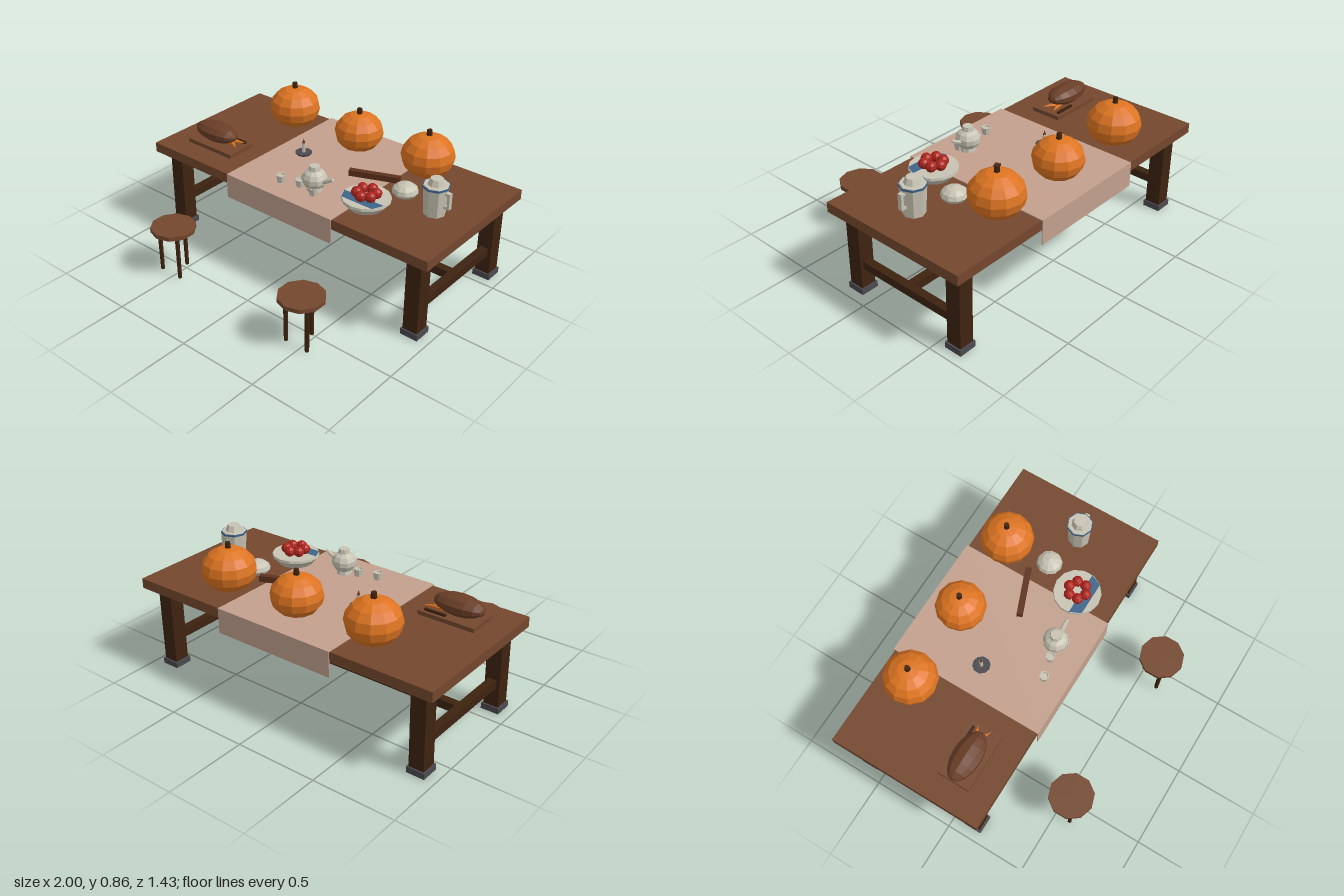
import * as THREE from 'three';

const mat = (name, color) => new THREE.MeshStandardMaterial({ name, color });

export function createModel() {
  const root = new THREE.Group();
  root.name = 'feastTable';
  const wood = mat('warm wood', 0x74472e), dark = mat('dark wood', 0x3e230f);
  const linen = mat('linen', 0xc3a08e), orange = mat('pumpkin orange', 0xdd7421);
  const clay = mat('glazed clay', 0xc8c4b4), red = mat('apple red', 0xae241c);
  const blue = mat('glaze blue', 0x3f658a), iron = mat('iron', 0x4a494f);
  const roast = mat('roast brown', 0x6a3e27), stick = mat('reddish wood', 0x5e321f);

  // Adds a faceted mesh with one normal per face
  const add = (parent, name, geo, material, x = 0, y = 0, z = 0) => {
    const g = geo.index ? geo.toNonIndexed() : geo;
    g.computeVertexNormals();
    const m = new THREE.Mesh(g, material);
    m.name = name;
    m.position.set(x, y, z);
    parent.add(m);
    return m;
  };
  const group = (name, x = 0, y = 0, z = 0) => {
    const g = new THREE.Group();
    g.name = name;
    g.position.set(x, y, z);
    root.add(g);
    return g;
  };
  const box = (w, h, d) => new THREE.BoxGeometry(w, h, d);
  const cyl = (rt, rb, h, n = 8) => new THREE.CylinderGeometry(rt, rb, h, n);
  const ball = (rx, ry, rz, n = 10, m = 7) => new THREE.SphereGeometry(1, n, m).scale(rx, ry, rz);
  const lathe = (pts, n) => new THREE.LatheGeometry(pts.map(p => new THREE.Vector2(...p)), n);
  const TOP = 0.57;

  // Table
  const table = group('table', 0, 0, -0.24);
  add(table, 'tableTop', box(2, 0.06, 0.94), wood, 0, 0.535);
  add(table, 'underFrame', box(1.94, 0.016, 0.89), dark, 0, 0.498);
  for (const sx of [-1, 1]) {
    for (const sz of [-1, 1]) {
      add(table, 'tableLeg', box(0.092, 0.47, 0.092), dark, sx * 0.885, 0.26, sz * 0.367);
      add(table, 'footCap', box(0.11, 0.036, 0.11), iron, sx * 0.885, 0.018, sz * 0.367);
    }
    add(table, 'sideStretcher', box(0.05, 0.05, 0.65), dark, sx * 0.885, 0.18, 0);
  }
  add(table, 'longStretcher', box(1.75, 0.05, 0.05), dark, 0, 0.18, 0);

  // Cloth runner with two hanging ends
  const runner = group('runner', 0, 0, -0.24);
  add(runner, 'runnerTop', box(0.77, 0.005, 0.96), linen, 0, 0.5685);
  for (const s of [-1, 1]) add(runner, 'runnerDrop', box(0.77, 0.152, 0.005), linen, 0, 0.495, s * 0.4775);

  // Stools, each with three legs
  for (const [x, z] of [[-0.53, 0.55], [0.47, 0.58]]) {
    const stool = group('stool', x, 0, z);
    add(stool, 'stoolSeat', cyl(0.133, 0.133, 0.026, 10), wood, 0, 0.298);
    for (let i = 0; i < 3; i++) {
      const a = Math.PI + i * Math.PI * 2 / 3;
      add(stool, 'stoolLeg', cyl(0.014, 0.012, 0.286, 6), dark, Math.sin(a) * 0.085, 0.143, Math.cos(a) * 0.085);
    }
  }

  // Pumpkins
  for (const [x, r, ry] of [[-0.505, 0.157, 0.13], [0, 0.148, 0.12], [0.495, 0.157, 0.13]]) {
    const pumpkin = group('pumpkin', x, TOP, -0.505);
    add(pumpkin, 'pumpkinBody', ball(r, ry, r, 12, 8), orange, 0, ry - 0.003);
    add(pumpkin, 'pumpkinStem', cyl(0.015, 0.018, 0.045, 6), dark, 0, ry * 2 + 0.005);
  }

  // Roast on a board with carrots
  const platter = group('roastPlatter', -0.68, 0.565, -0.01);
  add(platter, 'board', box(0.35, 0.024, 0.195), wood, 0, 0.012);
  const meat = new THREE.SphereGeometry(1, 10, 8).rotateZ(Math.PI / 2).scale(0.155, 0.058, 0.083);
  add(platter, 'roast', meat, roast, -0.027, 0.08, 0);
  for (const [x, z, turn] of [[0.115, -0.035, 0.3], [0.12, 0.01, -0.5]]) {
    const carrot = add(platter, 'carrot', new THREE.ConeGeometry(0.02, 0.1, 6).rotateZ(-Math.PI / 2), orange, x, 0.043, z);
    carrot.rotation.y = turn;
  }
  add(platter, 'knife', box(0.13, 0.012, 0.016), dark, 0.08, 0.03, -0.07);

  // Candle on its holder
  const candle = group('candle', -0.21, TOP, -0.24);
  add(candle, 'candleHolder', cyl(0.052, 0.045, 0.012, 10), iron, 0, 0.006);
  add(candle, 'candleStick', cyl(0.011, 0.012, 0.06, 6), clay, 0, 0.042);
  add(candle, 'candleTip', new THREE.ConeGeometry(0.01, 0.03, 6), roast, 0, 0.086);

  // Teapot
  const pot = group('teapot', 0.115, TOP, 0.05);
  add(pot, 'potBody', ball(0.074, 0.063, 0.074), clay, 0, 0.075);
  add(pot, 'potBase', cyl(0.04, 0.045, 0.025), clay, 0, 0.0125);
  add(pot, 'potLid', cyl(0.03, 0.036, 0.03), clay, 0, 0.141);
  const spout = add(pot, 'potSpout', cyl(0.009, 0.014, 0.085, 6), clay, 0.095, 0.091);
  spout.rotation.z = -1.08;

  // Cups
  for (const [x, z] of [[-0.09, 0.1], [0.027, 0.07], [0.145, 0.095]]) {
    const cup = group('cup', x, TOP, z);
    add(cup, 'cupBody', lathe([[0, 0], [0.022, 0], [0.028, 0.045], [0.023, 0.045], [0.02, 0.035], [0, 0.035]], 8), clay);
  }

  // Fruit bowl with a blue glazed band and a ring of apples
  const bowl = group('fruitBowl', 0.44, TOP, 0);
  add(bowl, 'bowlBody', lathe([[0, 0], [0.1, 0], [0.125, 0.03], [0.14, 0.045], [0.138, 0.06], [0, 0.056]], 14), clay);
  const band = new THREE.Shape();
  [[-0.134, -0.022], [-0.104, -0.09], [0.104, -0.09], [0.134, -0.022]]
    .forEach(([x, y], i) => (i ? band.lineTo(x, y) : band.moveTo(x, y)));
  add(bowl, 'bowlBand', new THREE.ShapeGeometry(band).rotateX(-Math.PI / 2), blue, 0, 0.0615);
  for (let i = 0; i < 6; i++) {
    const a = i * Math.PI / 3;
    add(bowl, 'apple', ball(0.033, 0.031, 0.033, 8, 6), red, Math.sin(a) * 0.054, 0.084, Math.cos(a) * 0.054);
  }

  // Domed dish
  const dish = group('domedDish', 0.53, TOP, -0.24);
  add(dish, 'dome', lathe([[0, 0], [0.062, 0], [0.077, 0.022], [0.068, 0.045], [0.042, 0.064], [0, 0.075]], 10), clay);

  // Pitcher with blue rim, lid and handle
  const pitcher = group('pitcher', 0.765, TOP, -0.18);
  add(pitcher, 'pitcherBody', cyl(0.073, 0.062, 0.166), clay, 0, 0.083);
  add(pitcher, 'pitcherRim', cyl(0.077, 0.077, 0.012), blue, 0, 0.17);
  add(pitcher, 'pitcherShoulder', cyl(0.07, 0.073, 0.005), clay, 0, 0.178);
  add(pitcher, 'pitcherLid', cyl(0.036, 0.05, 0.036), clay, 0, 0.198);
  for (const y of [0.064, 0.144]) add(pitcher, 'handleArm', box(0.04, 0.016, 0.026), clay, 0.075, y);
  add(pitcher, 'handleGrip', box(0.016, 0.096, 0.026), clay, 0.087, 0.104);

  // Wooden stick lying across the runner
  const rod = add(root, 'woodenStick', box(0.3, 0.036, 0.034), stick, 0.295, TOP + 0.019, -0.27);
  rod.rotation.y = 0.38;

  return root;
}
